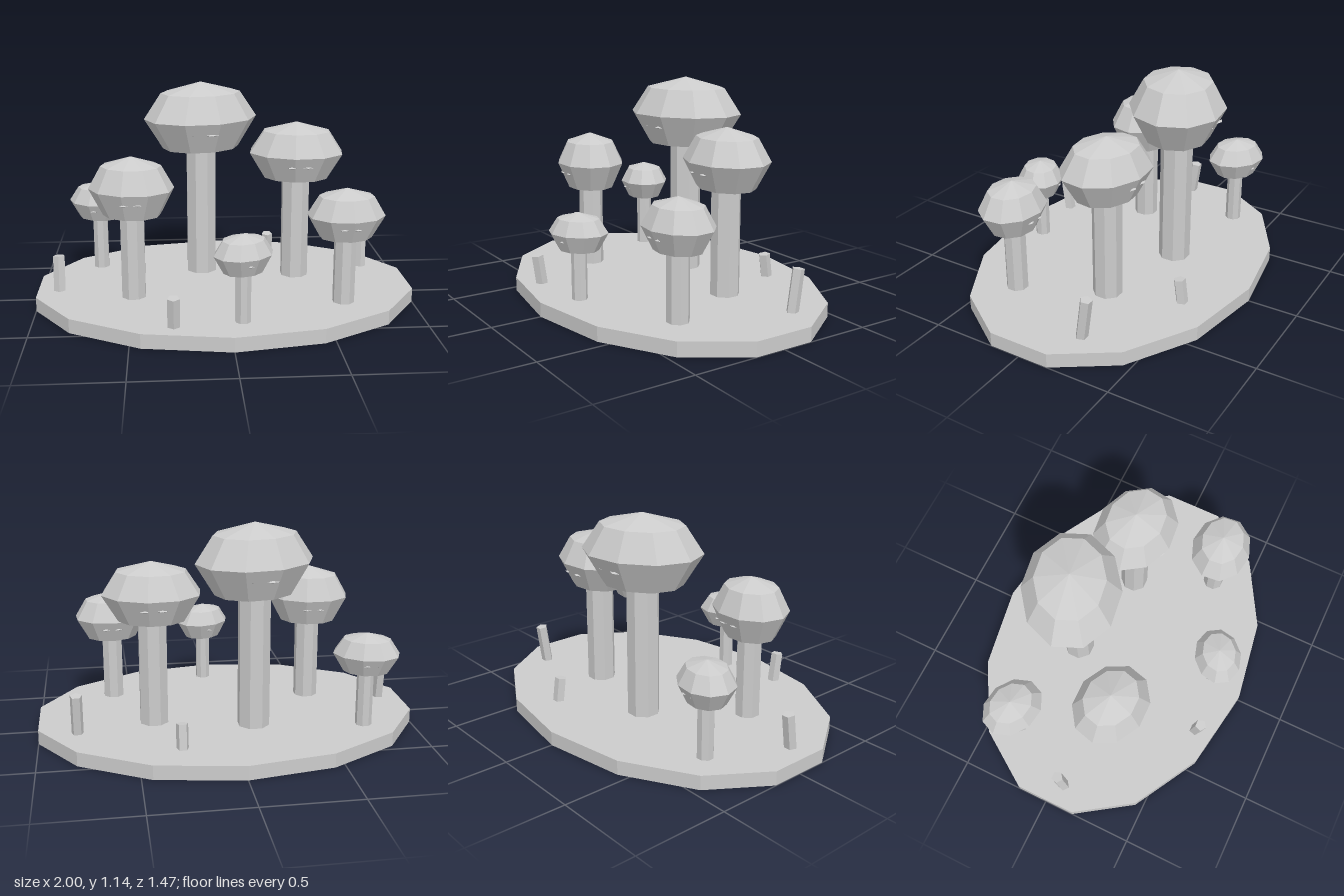
import * as THREE from 'three';

const material = new THREE.MeshStandardMaterial({ color: 0xcccccc, flatShading: true });

function addMesh(parent, name, geometry, x = 0, y = 0, z = 0) {
  const mesh = new THREE.Mesh(geometry, material);
  mesh.name = name;
  mesh.position.set(x, y, z);
  parent.add(mesh);
  return mesh;
}

const GROUND_TOP = 0.075;

// Position, stem radius, cap semi-axes, cap yaw, then heights of the cap's top and widest ring
const mushrooms = [
  { x: -0.115, z: -0.23, stem: 0.085, a: 0.314, b: 0.25, yaw: 0.4, top: 1.145, mid: 0.95, low: 0.785 },
  { x: 0.397, z: -0.12, stem: 0.077, a: 0.257, b: 0.207, yaw: -0.15, top: 0.94, mid: 0.775, low: 0.635 },
  { x: -0.487, z: 0.165, stem: 0.066, a: 0.22, b: 0.182, yaw: -0.25, top: 0.825, mid: 0.66, low: 0.52 },
  { x: 0.595, z: 0.31, stem: 0.057, a: 0.198, b: 0.16, yaw: 0.1, top: 0.68, mid: 0.54, low: 0.425 },
  { x: 0.055, z: 0.54, stem: 0.04, a: 0.155, b: 0.125, yaw: 0.55, top: 0.525, mid: 0.425, low: 0.335 },
  { x: -0.685, z: -0.32, stem: 0.043, a: 0.172, b: 0.138, yaw: -0.4, top: 0.575, mid: 0.465, low: 0.37 },
];

function createMushroom({ x, z, stem, a, b, yaw, top, mid, low }) {
  const group = new THREE.Group();
  group.name = 'mushroom';
  group.position.set(x, 0, z);

  // Straight stem running into the cap
  const height = mid - GROUND_TOP + 0.01;
  addMesh(group, 'stem', new THREE.CylinderGeometry(stem, stem, height, 8), 0, mid - height / 2, 0)
    .rotation.y = Math.PI / 8;

  // Faceted oval cap, nearly flat underneath
  const rise = top - mid, drop = mid - low;
  const profile = [
    [0, -drop * 1.08], [0.68, -drop], [1.01, 0], [0.71, rise * 0.707], [0, rise],
  ].map(([r, y]) => new THREE.Vector2(r, y));
  const cap = addMesh(group, 'cap', new THREE.LatheGeometry(profile, 10), 0, mid, 0);
  cap.scale.set(a, 1, b);
  cap.rotation.y = yaw;

  // Small slivers showing through the lower slope, front and back
  for (const side of [-1, 1]) {
    for (const offset of [-0.16, 0.16]) {
      const sliver = addMesh(group, 'capSliver', new THREE.OctahedronGeometry(1),
        offset * a, mid - drop * 0.38, side * b * 0.85);
      sliver.scale.set(a * 0.12, 0.006, b * 0.06);
    }
  }
  return group;
}

// Leaning twigs: base x and z, top height, lean about x
const twigs = [
  [-0.885, 0.05, 0.265, -0.14],
  [-0.285, 0.592, 0.235, 0.14],
  [0.285, -0.488, 0.205, 0.14],
  [0.797, -0.236, 0.295, -0.14],
];

export function createModel() {
  const model = new THREE.Group();
  model.name = 'mushroomClearing';

  // Oval ground slab
  addMesh(model, 'ground', new THREE.CylinderGeometry(1.025, 1.025, GROUND_TOP, 14), 0, GROUND_TOP / 2, 0)
    .scale.z = 0.717;

  for (const spec of mushrooms) model.add(createMushroom(spec));

  for (const [x, z, top, lean] of twigs) {
    const twig = addMesh(model, 'twig', new THREE.CylinderGeometry(0.032, 0.032, top - 0.008, 5), x, top / 2, z);
    twig.rotation.x = lean;
  }
  return model;
}
